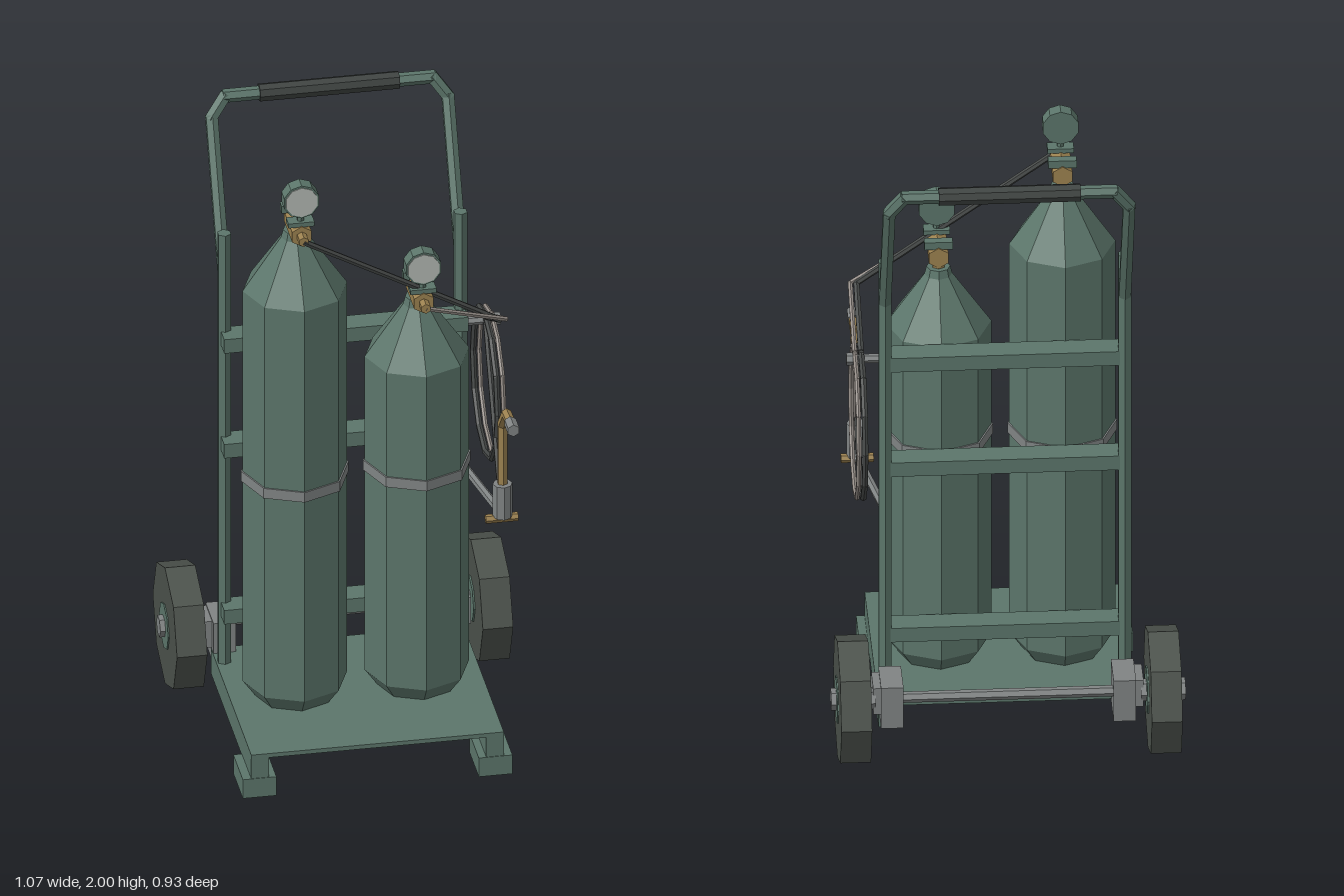
import * as THREE from 'three';

const mat = (name, color) => {
  const m = new THREE.MeshStandardMaterial({ color });
  m.name = name;
  return m;
};

export function createModel() {
  const root = new THREE.Group();
  root.name = 'gasCylinderCart';
  const green = mat('green paint', 0x5c766b);
  const rubber = mat('tyre rubber', 0x4b514b);
  const grip = mat('grip rubber', 0x3d4240);
  const steel = mat('steel', 0x808484);
  const brass = mat('brass', 0x9c8250);
  const dial = mat('dial face', 0xb2b8b2);
  const darkHose = mat('dark hose', 0x454847);
  const paleHose = mat('pale hose', 0x938c86);
  const V = (x, y, z) => new THREE.Vector3(x, y, z);

  // Faceted mesh from any geometry
  function add(name, geo, material, parent = root) {
    const g = geo.index ? geo.toNonIndexed() : geo;
    g.computeVertexNormals();
    const mesh = new THREE.Mesh(g, material);
    mesh.name = name;
    parent.add(mesh);
    return mesh;
  }
  // Box given by its lower and upper limits
  function box(name, material, [x0, x1], [y0, y1], [z0, z1], parent) {
    const m = add(name, new THREE.BoxGeometry(x1 - x0, y1 - y0, z1 - z0), material, parent);
    m.position.set((x0 + x1) / 2, (y0 + y1) / 2, (z0 + z1) / 2);
    return m;
  }
  // Cylinder between two points
  function rod(name, material, a, b, r, sides = 6, parent = root) {
    const dir = b.clone().sub(a);
    const m = add(name, new THREE.CylinderGeometry(r, r, dir.length(), sides), material, parent);
    m.position.copy(a).lerp(b, 0.5);
    m.quaternion.setFromUnitVectors(V(0, 1, 0), dir.normalize());
    return m;
  }
  // Bent pipe made of straight lengths that overlap a little at the bends
  function pipe(name, material, points, r, sides = 6) {
    const group = new THREE.Group();
    group.name = name;
    root.add(group);
    for (let i = 0; i < points.length - 1; i++) {
      const d = points[i + 1].clone().sub(points[i]).setLength(r * 0.35);
      const a = i ? points[i].clone().sub(d) : points[i];
      const b = i < points.length - 2 ? points[i + 1].clone().add(d) : points[i + 1];
      rod(name + 'Length', material, a, b, r, sides, group);
    }
  }

  // Platform
  box('platform', green, [-0.387, 0.387], [0.133, 0.147], [-0.2, 0.465]);

  // Parts on both sides
  for (const s of [-1, 1]) {
    const span = (a, b) => (s > 0 ? [a, b] : [-b, -a]);
    box('sideRail', green, span(0.333, 0.387), [0.06, 0.146], [-0.2, 0.464]);
    box('foot', green, span(0.31, 0.413), [0, 0.065], [0.31, 0.466]);
    rod('upright', green, V(s * 0.362, 0.14, -0.115), V(s * 0.362, 1.63, -0.115), 0.022);

    // Wheel, hub and axle bracket
    const at = (x) => V(s * x, 0.2, -0.268);
    const wheel = (name, m, x0, x1, r, sides) => {
      const w = add(name, new THREE.CylinderGeometry(r, r, x1 - x0, sides), m);
      w.rotation.z = Math.PI / 2;
      w.position.copy(at((x0 + x1) / 2));
    };
    wheel('tyre', rubber, 0.422, 0.515, 0.2, 8);
    wheel('hub', green, 0.417, 0.519, 0.075, 8);
    wheel('axleNut', steel, 0.4, 0.535, 0.034, 6);
    box('axleBracket', steel, span(0.317, 0.385), [0.11, 0.25], [-0.298, -0.165]);
    box('axleBlock', steel, span(0.38, 0.408), [0.155, 0.245], [-0.29, -0.19]);
  }
  rod('axle', steel, V(-0.42, 0.2, -0.268), V(0.42, 0.2, -0.268), 0.017);

  // Cross bars
  for (const y of [0.335, 0.91, 1.273]) {
    box('crossBar', green, [-0.374, 0.374], [y - 0.024, y + 0.024], [-0.128, -0.05]);
  }

  // Push handle and grip
  const side = [V(0.362, 1.49, -0.118), V(0.362, 1.915, -0.322), V(0.318, 1.976, -0.338)];
  const mirrored = side.map((p) => V(-p.x, p.y, p.z)).reverse();
  pipe('handle', green, [...side, ...mirrored], 0.021);
  rod('handleGrip', grip, V(-0.214, 1.976, -0.338), V(0.214, 1.976, -0.338), 0.028, 8);

  // Gas cylinders with band, valve and gauge
  function gasCylinder(x, shoulder, neck) {
    const g = new THREE.Group();
    g.name = 'gasCylinder';
    g.position.set(x, 0, 0.106);
    root.add(g);
    const profile = [[0, 0.147], [0.122, 0.147], [0.16, 0.2], [0.16, shoulder],
      [0.042, neck - 0.025], [0.036, neck], [0, neck]];
    add('tank', new THREE.LatheGeometry(profile.map((p) => new THREE.Vector2(...p)), 8), green, g);
    const band = add('band', new THREE.CylinderGeometry(0.165, 0.165, 0.034, 8), steel, g);
    band.position.y = 0.91;

    const y = neck + 0.037;
    rod('valveStem', brass, V(0, neck - 0.01, 0), V(0, y + 0.03, 0), 0.02, 6, g);
    rod('valveBody', brass, V(0, y, -0.02), V(0, y, 0.116), 0.034, 6, g);
    rod('valveOutlet', brass, V(0, y, 0.11), V(0, y, 0.152), 0.016, 6, g);
    box('valveKnob', green, [-0.043, 0.043], [y + 0.027, y + 0.052], [-0.015, 0.014], g);
    rod('gaugeStem', green, V(0, y + 0.02, 0.092), V(0, y + 0.07, 0.092), 0.011, 6, g);
    box('gaugeMount', green, [-0.04, 0.04], [y + 0.03, y + 0.045], [0.07, 0.112], g);
    rod('gaugeCase', green, V(0, y + 0.118, 0.069), V(0, y + 0.118, 0.114), 0.056, 10, g);
    rod('gaugeFace', dial, V(0, y + 0.118, 0.112), V(0, y + 0.118, 0.117), 0.05, 10, g);
  }
  gasCylinder(-0.187, 1.55, 1.75);
  gasCylinder(0.187, 1.285, 1.48);

  // Hose hook
  rod('hoseHook', steel, V(0.36, 1.27, -0.075), V(0.45, 1.27, -0.075), 0.014);
  rod('hookCap', steel, V(0.45, 1.27, -0.075), V(0.476, 1.27, -0.075), 0.019);

  // Hoses: from the outlet, once round the hook, then to the torch
  function hose(name, material, start, x, r) {
    const points = [start, V(x, 1.4, 0.158), V(x, 1.287, -0.06)];
    for (let i = 1; i <= 12; i++) {
      const a = (i / 12) * Math.PI * 2;
      points.push(V(x, 1.052 + 0.238 * Math.cos(a), -0.075 - 0.205 * Math.sin(a)));
    }
    points.push(V(0.427, 0.77, 0.222));
    pipe(name, material, points, r);
  }
  hose('darkHose', darkHose, V(-0.187, 1.785, 0.252), 0.431, 0.01);
  hose('paleHose', paleHose, V(0.187, 1.515, 0.252), 0.45, 0.008);

  // Torch and its holder
  rod('torchArm', steel, V(0.365, 0.763, -0.1), V(0.427, 0.763, 0.225), 0.013);
  rod('torchPin', brass, V(0.375, 0.752, 0.226), V(0.474, 0.752, 0.226), 0.014);
  rod('torchHolder', steel, V(0.427, 0.76, 0.228), V(0.427, 0.872, 0.228), 0.03, 8);
  pipe('torchTube', brass, [V(0.427, 0.87, 0.226), V(0.427, 1.075, 0.226),
    V(0.427, 1.15, 0.295), V(0.427, 1.155, 0.36)], 0.016);
  rod('torchNozzle', steel, V(0.427, 1.155, 0.355), V(0.427, 1.155, 0.41), 0.02);

  return root;
}
